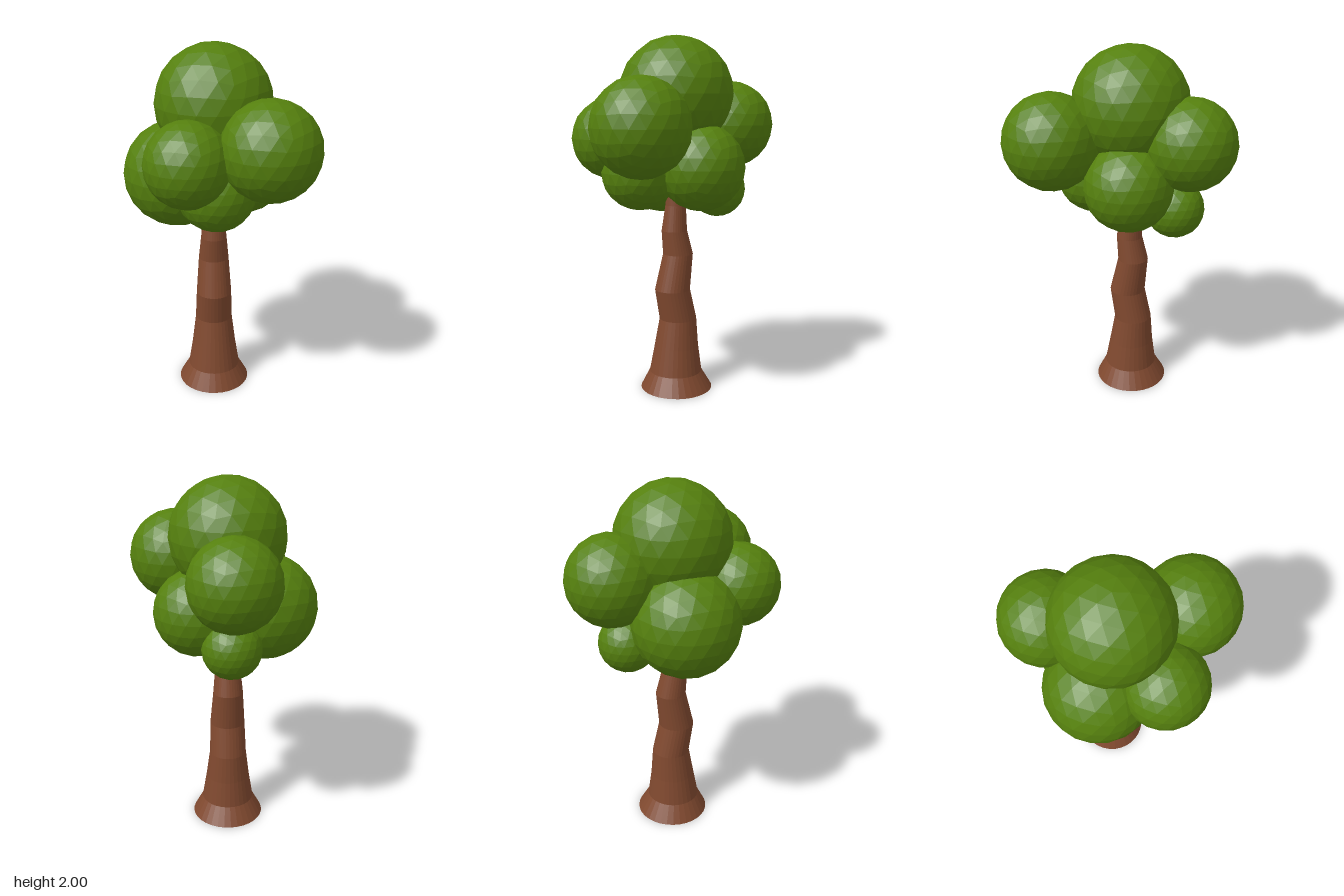
import * as THREE from 'three';

export function createModel() {
  const tree = new THREE.Group();
  tree.name = 'tree';
  const bark = new THREE.MeshStandardMaterial({ color: 0x80492f, flatShading: true });
  const leaves = new THREE.MeshStandardMaterial({ color: 0x55800e, flatShading: true });

  // Trunk rings from the flared foot upward: height, radius, centre z
  const rings = [
    [0, 0.205, -0.005], [0.1, 0.15, 0], [0.25, 0.126, -0.005], [0.41, 0.106, -0.015],
    [0.585, 0.1, 0.02], [0.79, 0.085, -0.015], [0.925, 0.072, 0.008], [1.07, 0.058, 0], [1.25, 0.05, 0],
  ];
  const last = rings.length - 1;
  const trunkGeometry = new THREE.CylinderGeometry(1, 1, 1, 32, last);
  const p = trunkGeometry.attributes.position;
  for (let i = 0; i < p.count; i++) {
    const [y, r, z] = rings[Math.round((p.getY(i) + 0.5) * last)];
    p.setXYZ(i, p.getX(i) * r - 0.02, y, p.getZ(i) * r + z);
  }
  trunkGeometry.computeVertexNormals();
  const trunk = new THREE.Mesh(trunkGeometry, bark);
  trunk.name = 'trunk';
  tree.add(trunk);

  // Leaf clumps: faceted balls with a corner pointing straight up
  const ball = new THREE.IcosahedronGeometry(1, 3);
  ball.rotateZ(-Math.atan(2 / (1 + Math.sqrt(5))));
  const foliage = new THREE.Group();
  foliage.name = 'foliage';
  const clumps = [
    ['crownClump', -0.018, 1.685, -0.003, 0.316],
    ['frontLeftClump', 0.25, 1.515, 0.33, 0.261],
    ['frontRightClump', -0.163, 1.445, 0.315, 0.226],
    ['backClump', -0.02, 1.515, -0.345, 0.246],
    ['rightClump', -0.218, 1.3, -0.015, 0.292],
    ['leftClump', 0.15, 1.293, -0.07, 0.239],
    ['lowFrontClump', -0.015, 1.267, 0.22, 0.21],
    ['lowBackClump', -0.015, 1.15, -0.265, 0.161],
  ];
  for (const [name, x, y, z, r] of clumps) {
    const clump = new THREE.Mesh(ball, leaves);
    clump.name = name;
    clump.position.set(x, y, z);
    clump.scale.setScalar(r);
    foliage.add(clump);
  }
  tree.add(foliage);
  return tree;
}
